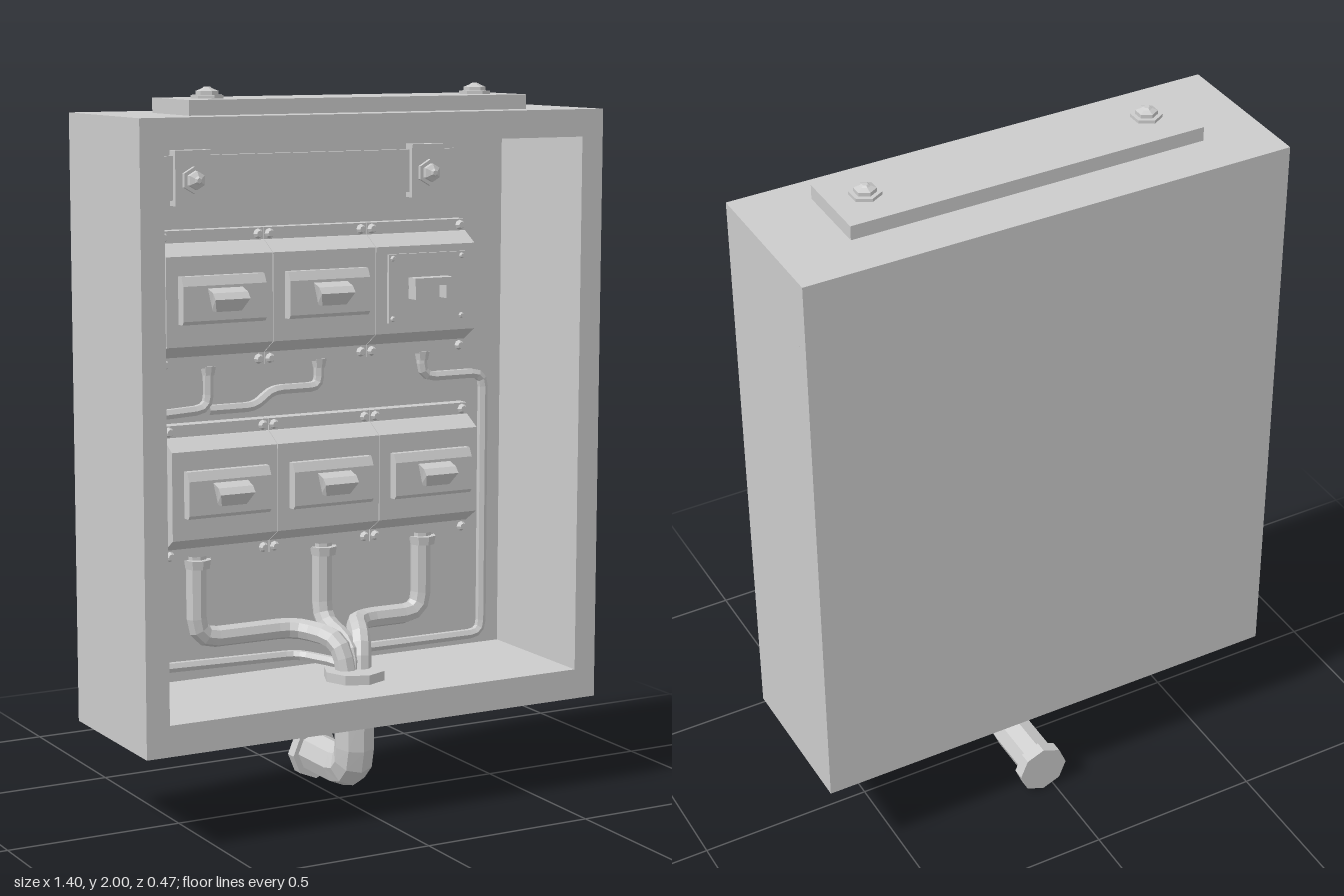
import * as THREE from 'three';

const V = (x, y, z) => new THREE.Vector3(x, y, z);
const mat = new THREE.MeshStandardMaterial({ color: 0xcccccc, flatShading: true });

// Curve through explicit points, so each point becomes one tube ring.
class PointPath extends THREE.Curve {
  constructor(pts) { super(); this.pts = pts; }
  getPointAt(u) { return this.pts[Math.round(u * (this.pts.length - 1))].clone(); }
  getPoint(u) { return this.getPointAt(u); }
  getTangentAt(u) {
    const p = this.pts, n = p.length - 1, i = Math.round(u * n);
    const dir = (a, b) => p[b].clone().sub(p[a]).normalize();
    if (i === 0) return dir(0, 1);
    if (i === n) return dir(n - 1, n);
    return dir(i - 1, i).add(dir(i, i + 1)).normalize();
  }
}

// Straight runs joined by rounded corners.
function roundedPath(corners, bend, steps = 3) {
  const out = [corners[0]];
  for (let i = 1; i < corners.length - 1; i++) {
    const [a, c, b] = [corners[i - 1], corners[i], corners[i + 1]];
    const toward = (q) => c.clone().lerp(q, Math.min(0.45, bend / c.distanceTo(q)));
    out.push(...new THREE.QuadraticBezierCurve3(toward(a), c, toward(b)).getPoints(steps));
  }
  out.push(corners[corners.length - 1]);
  return new PointPath(out);
}

function add(parent, name, geometry, x = 0, y = 0, z = 0) {
  const m = new THREE.Mesh(geometry, mat);
  m.name = name;
  m.position.set(x, y, z);
  parent.add(m);
  return m;
}

function box(parent, name, x0, x1, y0, y1, z0, z1) {
  return add(parent, name, new THREE.BoxGeometry(x1 - x0, y1 - y0, z1 - z0),
    (x0 + x1) / 2, (y0 + y1) / 2, (z0 + z1) / 2);
}

function conduit(parent, name, corners, radius, bend, sides = 8) {
  const path = roundedPath(corners.map((c) => V(...c)), bend);
  return add(parent, name, new THREE.TubeGeometry(path, path.pts.length - 1, radius, sides));
}

// Side profile of [z, y] points, extruded along x and centred there.
function sideProfile(points, width) {
  const shape = new THREE.Shape(points.map((p) => new THREE.Vector2(...p)));
  return new THREE.ExtrudeGeometry(shape, { depth: width, bevelEnabled: false })
    .translate(0, 0, -width / 2).rotateY(-Math.PI / 2);
}

// Lathed bolt: washer, nut and tip along +y.
function boltGeometry(r, h) {
  const p = [[0, 0], [r, 0], [r, 0.3 * h], [0.7 * r, 0.3 * h], [0.7 * r, 0.65 * h], [0.35 * r, 0.85 * h], [0.2 * r, h], [0, h]];
  return new THREE.LatheGeometry(p.map((q) => new THREE.Vector2(...q)), 6);
}

const screwGeometry = (r, h) => new THREE.CylinderGeometry(r * 0.6, r, h, 8).rotateX(Math.PI / 2);

function breaker(parent, x, y) {
  const g = new THREE.Group();
  g.name = 'breakerSwitch';
  g.position.set(x, y, 0);
  add(g, 'breakerBody', sideProfile([[-0.09, -0.065], [-0.06, -0.065], [-0.052, -0.055],
    [-0.052, 0.04], [-0.065, 0.065], [-0.09, 0.065]], 0.25));
  // The lever tapers towards its lower edge.
  const lever = sideProfile([[-0.06, -0.03], [-0.03, -0.03], [-0.005, 0.005], [-0.02, 0.022], [-0.06, 0.035]], 0.105);
  const pos = lever.attributes.position;
  for (let i = 0; i < pos.count; i++) if (pos.getY(i) < -0.02) pos.setX(i, pos.getX(i) * 0.72);
  lever.computeVertexNormals();
  add(g, 'switchLever', lever);
  parent.add(g);
}

function meter(parent, x, y) {
  const g = new THREE.Group();
  g.name = 'handlePlate';
  g.position.set(x, y, 0);
  box(g, 'plate', -0.125, 0.125, -0.097, 0.097, -0.09, -0.075);
  for (const sx of [-1, 1]) {
    for (const sy of [-1, 1]) add(g, 'plateScrew', screwGeometry(0.009, 0.008), sx * 0.112, sy * 0.085, -0.072);
    box(g, 'handleLeg', sx * 0.05 - 0.011, sx * 0.05 + 0.011, -0.03, 0.01, -0.078, -0.035);
  }
  box(g, 'handleBar', -0.062, 0.062, 0.008, 0.03, -0.078, -0.035);
  parent.add(g);
}

// Row of three hat-shaped covers with screws along both flanges.
function switchRow(root, name, cx, cy, fill) {
  const row = new THREE.Group();
  row.name = name;
  row.position.set(cx, cy, 0);
  const profile = [[-0.18, -0.19], [-0.14, -0.19], [-0.14, -0.155], [-0.085, -0.12],
    [-0.085, 0.125], [-0.135, 0.155], [-0.14, 0.157], [-0.14, 0.19], [-0.18, 0.19]];
  for (let i = -1; i <= 1; i++) {
    const x = i * 0.323;
    add(row, 'cover', sideProfile(profile, 0.321), x, 0, 0);
    for (const sx of [-1, 1]) for (const sy of [-1, 1])
      add(row, 'coverScrew', screwGeometry(0.015, 0.014), x + sx * 0.144, sy * 0.173, -0.134);
    fill[i + 1](row, x, 0.007);
  }
  root.add(row);
}

export function createModel() {
  const root = new THREE.Group();
  root.name = 'switchCabinet';

  // Open-fronted cabinet
  const rect = (P, x0, x1, y0, y1) => new P([[x0, y0], [x1, y0], [x1, y1], [x0, y1]].map((p) => new THREE.Vector2(...p)));
  const frame = rect(THREE.Shape, -0.7, 0.7, 0.265, 1.93);
  frame.holes.push(rect(THREE.Path, -0.633, 0.633, 0.35, 1.855));
  add(root, 'cabinetFrame', new THREE.ExtrudeGeometry(frame, { depth: 0.417, bevelEnabled: false }), 0, 0, -0.18);
  box(root, 'cabinetBack', -0.7, 0.7, 0.265, 1.93, -0.215, -0.18);

  // Top plate with bolts
  box(root, 'topPlate', -0.52, 0.503, 1.93, 1.97, -0.077, 0.15);
  for (const x of [-0.417, 0.403]) add(root, 'topBolt', boltGeometry(0.043, 0.03), x, 1.97, 0.043);

  // Mounting rail with two clamps
  box(root, 'mountingRail', -0.475, 0.47, 1.69, 1.81, -0.18, -0.16);
  for (const x of [-0.37, 0.367]) {
    box(root, 'railClamp', x - 0.053, x + 0.053, 1.675, 1.825, -0.18, -0.145);
    add(root, 'clampBolt', boltGeometry(0.037, 0.04).rotateX(Math.PI / 2), x, 1.745, -0.145);
  }

  // Two rows of switches
  switchRow(root, 'upperSwitchRow', 0.002, 1.42, [breaker, breaker, meter]);
  switchRow(root, 'lowerSwitchRow', 0.014, 0.888, [breaker, breaker, breaker]);

  // Thin conduits from the upper row
  const zt = -0.155;
  conduit(root, 'thinConduitLeft', [[-0.325, 1.25, zt], [-0.325, 1.115, zt], [-0.527, 1.105, zt],
    [-0.52, 0.4, zt], [-0.05, 0.39, zt], [0.01, 0.39, 0], [0.02, 0.34, 0.02]], 0.015, 0.04, 6);
  conduit(root, 'thinConduitMiddle', [[0.02, 1.25, zt], [0.02, 1.155, zt], [-0.13, 1.155, zt],
    [-0.18, 1.112, zt], [-0.325, 1.112, zt]], 0.015, 0.03, 6);
  conduit(root, 'thinConduitRight', [[0.355, 1.25, zt], [0.355, 1.16, zt], [0.56, 1.16, zt],
    [0.56, 0.385, zt], [0.12, 0.385, zt], [0.06, 0.385, 0], [0.05, 0.34, 0.02]], 0.015, 0.04, 6);
  for (const x of [-0.325, 0.02, 0.355])
    add(root, 'thinConduitCollar', new THREE.CylinderGeometry(0.023, 0.018, 0.025, 8), x, 1.222, zt);

  // Thick conduits from the lower row, meeting at the outlet
  const zc = -0.148;
  conduit(root, 'thickConduitLeft', [[-0.37, 0.71, zc], [-0.37, 0.473, zc], [-0.06, 0.473, zc],
    [0.005, 0.46, 0], [0.015, 0.34, 0.025]], 0.03, 0.06);
  conduit(root, 'thickConduitMiddle', [[0.025, 0.71, zc], [0.025, 0.48, zc], [0.035, 0.44, 0],
    [0.035, 0.34, 0.01]], 0.03, 0.06);
  conduit(root, 'thickConduitRight', [[0.35, 0.71, zc], [0.35, 0.473, zc], [0.13, 0.473, zc],
    [0.07, 0.46, 0], [0.055, 0.34, 0.025]], 0.03, 0.06);
  for (const x of [-0.37, 0.025, 0.35])
    add(root, 'thickConduitCollar', new THREE.CylinderGeometry(0.04, 0.036, 0.025, 8), x, 0.688, zc + 0.008);

  // Outlet pipe with collars, turning to the rear
  add(root, 'innerCollar', new THREE.CylinderGeometry(0.088, 0.088, 0.028, 8), 0.035, 0.363, 0.025);
  add(root, 'outerCollar', new THREE.CylinderGeometry(0.09, 0.09, 0.022, 8), 0.035, 0.255, 0.025);
  conduit(root, 'outletPipe', [[0.035, 0.27, 0.025], [0.035, 0.08, 0.025], [0.035, 0.08, -0.21]], 0.058, 0.075);
  add(root, 'outletFlange', new THREE.CylinderGeometry(0.074, 0.074, 0.035, 8).rotateX(Math.PI / 2), 0.035, 0.075, -0.22);
  return root;
}
